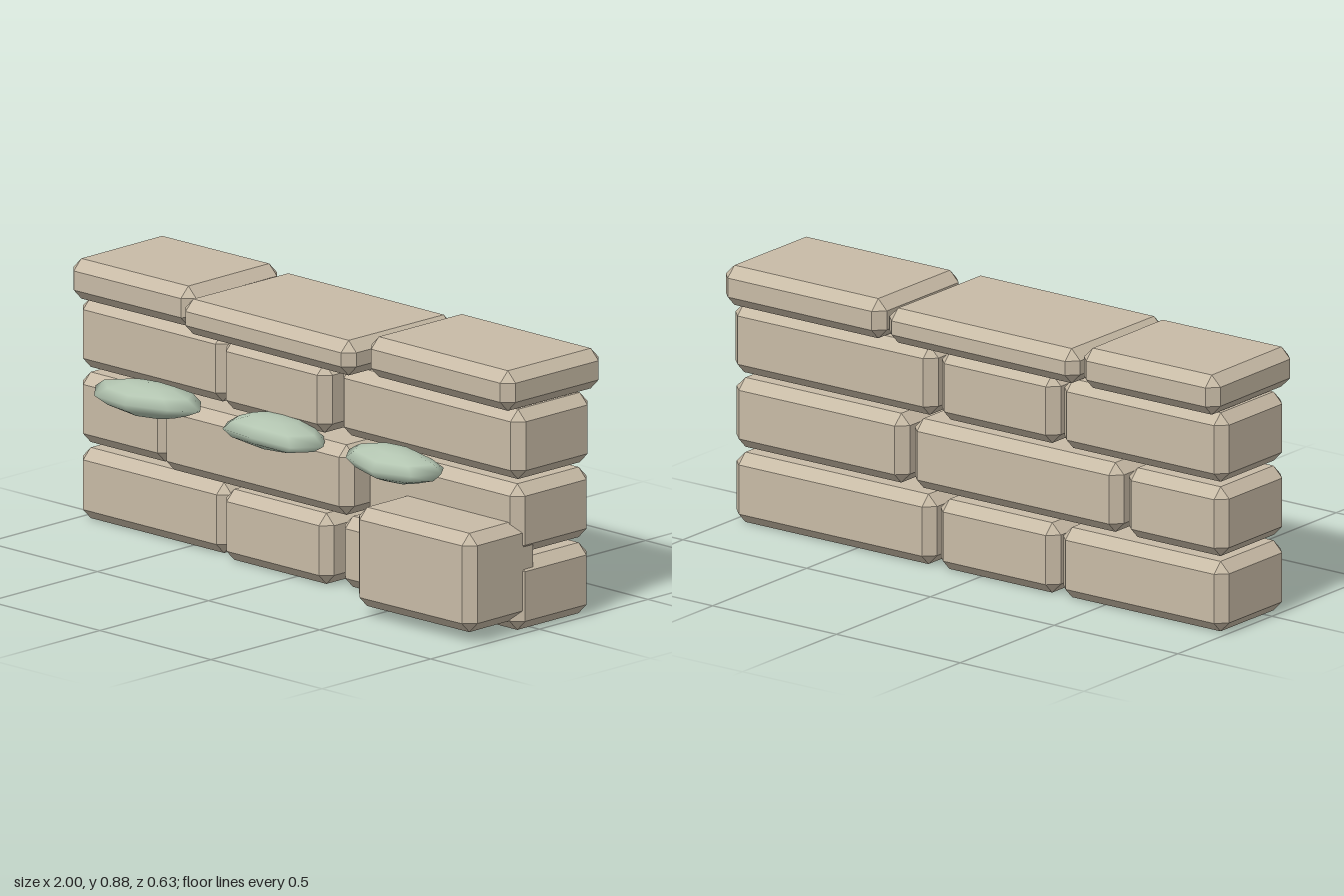
import * as THREE from 'three';
import { mergeVertices } from 'three/addons/utils/BufferGeometryUtils.js';
import { ConvexGeometry } from 'three/addons/geometries/ConvexGeometry.js';

const stone = new THREE.MeshStandardMaterial({ color: 0xc8bba6 });
stone.name = 'sandStone';
const moss = new THREE.MeshStandardMaterial({ color: 0xb2c4b0 });
moss.name = 'paleMoss';

// Box with bevelled edges and corners: each corner contributes three points
function chamferBox(w, h, d, c) {
  const points = [];
  for (const sx of [-1, 1]) for (const sy of [-1, 1]) for (const sz of [-1, 1]) {
    for (let axis = 0; axis < 3; axis++) {
      const inset = [c, c, c];
      inset[axis] = 0;
      points.push(new THREE.Vector3(
        sx * (w / 2 - inset[0]), sy * (h / 2 - inset[1]), sz * (d / 2 - inset[2])));
    }
  }
  return new ConvexGeometry(points);
}

// Stone block given by its extents on each axis
function block(name, [x0, x1], [y0, y1], [z0, z1], yaw = 0) {
  const mesh = new THREE.Mesh(chamferBox(x1 - x0, y1 - y0, z1 - z0, 0.035), stone);
  mesh.position.set((x0 + x1) / 2, (y0 + y1) / 2, (z0 + z1) / 2);
  mesh.rotation.y = yaw;
  mesh.name = name;
  return mesh;
}

// Flattened clump with pointed rim and uneven top
function mossClump(x0, x1, tipZ, phase) {
  const geo = new THREE.SphereGeometry(1, 8, 6);
  geo.deleteAttribute('uv');
  geo.deleteAttribute('normal');
  const merged = mergeVertices(geo, 1e-4);
  const p = merged.attributes.position;
  for (let i = 0; i < p.count; i++) {
    const x = p.getX(i), y = p.getY(i), z = p.getZ(i);
    const wobble = 1 + 0.06 * Math.sin(5 * x + 3 * z + phase);
    const rim = Math.abs(y) < 0.1 ? 1 : 0.92 * wobble;
    p.setXYZ(i,
      x * rim * (x1 - x0) / 2,
      y * 0.055 + 0.008 * Math.sin(3 * x + phase) * (1 - y * y),
      z * rim * (z > 0 ? tipZ - 0.16 : 0.105));
  }
  merged.computeVertexNormals();
  const mesh = new THREE.Mesh(merged, moss);
  mesh.position.set((x0 + x1) / 2, 0.49, 0.16);
  mesh.name = 'mossClump';
  return mesh;
}

export function createModel() {
  const wall = new THREE.Group();
  wall.name = 'stoneWall';

  // Three staggered courses: [x0, x1, front z]
  const courses = [
    { y: [0, 0.236], bricks: [[-1, -0.33, 0.09], [-0.32, 0.165, 0.125], [0.18, 0.99, 0.09]] },
    { y: [0.254, 0.488], bricks: [[-1, -0.595, 0.09], [-0.575, 0.27, 0.14], [0.29, 0.99, 0.09]] },
    { y: [0.505, 0.738], bricks: [[-1, -0.335, 0.09], [-0.32, 0.16, 0.128], [0.175, 0.995, 0.092]] },
  ];
  courses.forEach(({ y, bricks }, i) => {
    const course = new THREE.Group();
    course.name = `course${i + 1}`;
    for (const [x0, x1, front] of bricks) {
      course.add(block('brick', [x0, x1], y, [-0.262, front]));
    }
    wall.add(course);
  });

  // Overhanging cap stones
  wall.add(
    block('capLeftEnd', [-0.998, -0.45], [0.743, 0.877], [-0.31, 0.135], 0.008),
    block('capMiddle', [-0.44, 0.335], [0.743, 0.86], [-0.312, 0.192], -0.008),
    block('capRightEnd', [0.345, 0.998], [0.743, 0.877], [-0.31, 0.14], -0.004),
  );

  // Buttress block projecting from the front corner
  wall.add(block('buttress', [0.46, 0.985], [0.035, 0.365], [-0.02, 0.31], 0.012));

  // Moss along the upper joint
  wall.add(
    mossClump(-0.84, -0.37, 0.27, 0),
    mossClump(-0.245, 0.185, 0.286, 2),
    mossClump(0.3, 0.715, 0.27, 4),
  );
  return wall;
}
